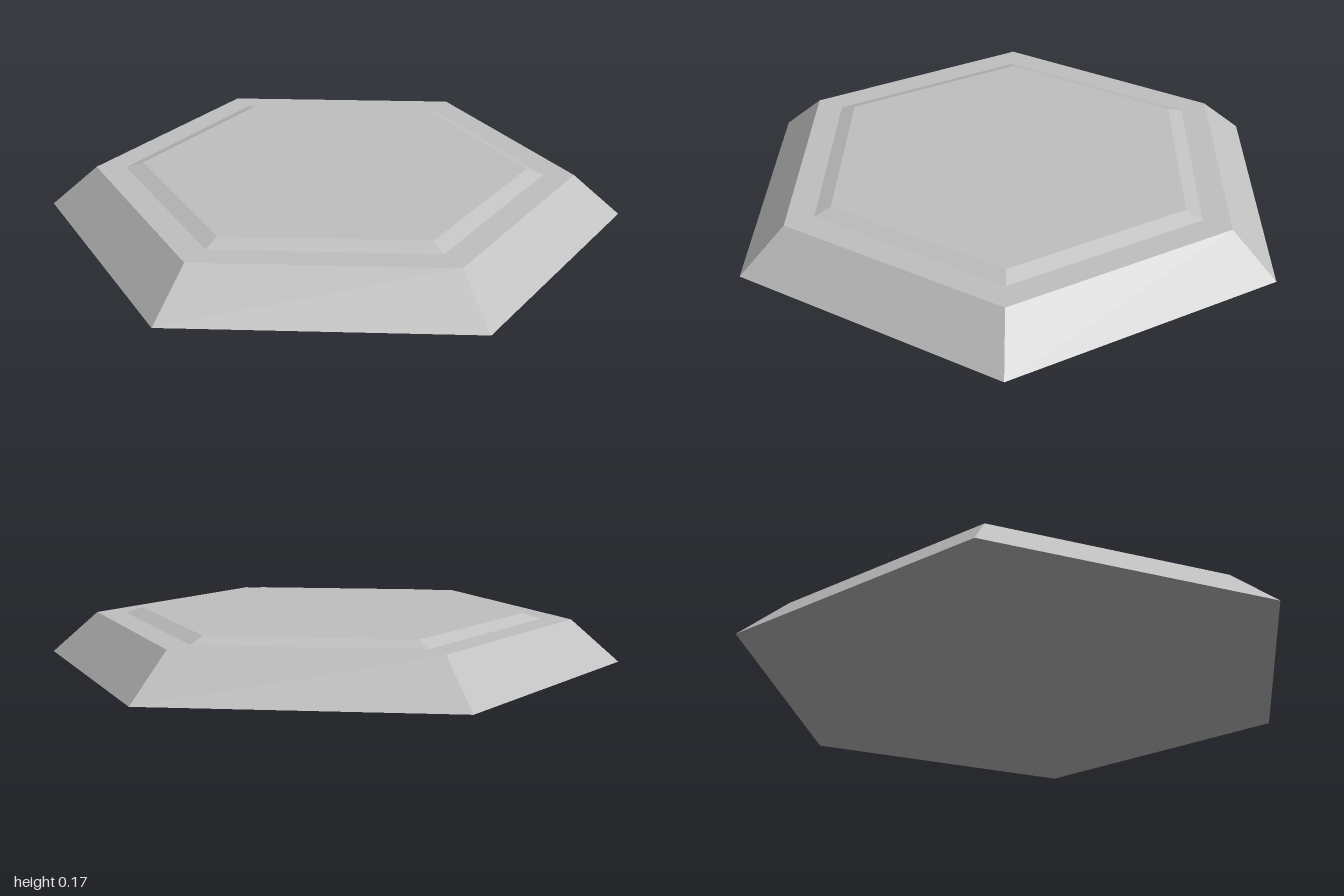
import * as THREE from 'three';

const SIDES = 6;

// Six-sided tapered slab whose underside sits at the given height
function hexSlab(name, bottomRadius, topRadius, height, y, material, openEnded = false) {
  const geometry = new THREE.CylinderGeometry(topRadius, bottomRadius, height, SIDES, 1, openEnded);
  geometry.translate(0, y + height / 2, 0);
  const mesh = new THREE.Mesh(geometry, material);
  mesh.name = name;
  return mesh;
}

export function createModel() {
  const group = new THREE.Group();
  group.name = 'hexagonalTile';

  const stone = new THREE.MeshStandardMaterial({ color: 0xc0c0c0, flatShading: true });
  stone.name = 'light grey';

  // Bevelled base with a corner towards the front
  group.add(hexSlab('base', 1, 0.835, 0.145, 0, stone));

  // Low raised panel on top
  group.add(hexSlab('raisedPanel', 0.73, 0.67, 0.02, 0.145, stone));

  return group;
}
